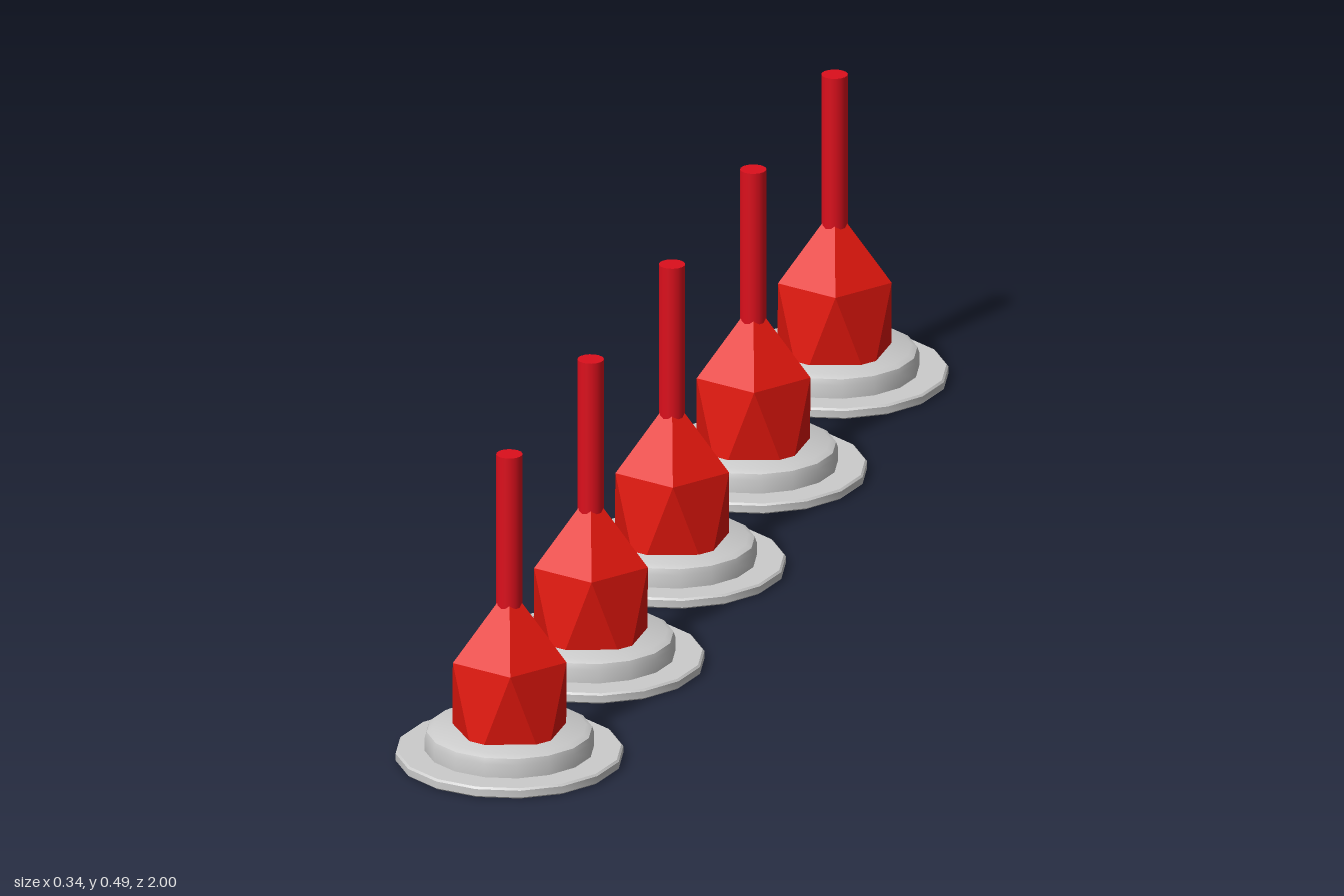
import * as THREE from 'three';
import { toCreasedNormals } from 'three/addons/utils/BufferGeometryUtils.js';

const COUNT = 5;
const PITCH = 0.414;

const grey = new THREE.MeshStandardMaterial({ color: 0xcccccc, side: THREE.DoubleSide });
const bodyRed = new THREE.MeshStandardMaterial({ color: 0xe3170d, flatShading: true });
const rodRed = new THREE.MeshStandardMaterial({ color: 0xdc0f1c });

// Stepped round base with a flange, hollow underneath
function baseGeometry() {
  const profile = [
    [0, 0.042], [0.108, 0.042], [0.118, 0.036], [0.122, 0.026], [0.122, 0.002],
    [0.126, 0], [0.168, 0], [0.172, 0.003], [0.172, 0.014], [0.169, 0.017],
    [0.128, 0.017], [0.128, 0.038], [0.125, 0.047], [0.116, 0.052], [0, 0.052],
  ].map(([r, y]) => new THREE.Vector2(r, y));
  return toCreasedNormals(new THREE.LatheGeometry(profile, 16), 0.7);
}

// Faceted body: two staggered five-sided rings, pointed top, flat bottom
function bodyGeometry() {
  const R = 0.09;
  const ring = (y, offset) => Array.from({ length: 5 }, (_, i) => {
    const a = ((i + offset) * Math.PI * 2) / 5;
    return new THREE.Vector3(R * Math.cos(a), y, R * Math.sin(a));
  });
  const upper = ring(0.165, 0);
  const lower = ring(0.012, 0.5);
  const apex = new THREE.Vector3(0, 0.278, 0);
  const bottom = new THREE.Vector3(0, 0.012, 0);
  const points = [];
  for (let i = 0; i < 5; i++) {
    const j = (i + 1) % 5;
    points.push(apex, upper[j], upper[i]);
    points.push(upper[i], upper[j], lower[i]);
    points.push(lower[i], upper[j], lower[j]);
    points.push(bottom, lower[i], lower[j]);
  }
  const geometry = new THREE.BufferGeometry().setFromPoints(points);
  geometry.computeVertexNormals();
  return geometry;
}

// Round rod running up through the body
function rodGeometry() {
  const bottom = 0.005, top = 0.491;
  return new THREE.CylinderGeometry(0.02, 0.02, top - bottom, 16)
    .translate(0, (top + bottom) / 2, 0);
}

export function createModel() {
  const model = new THREE.Group();
  model.name = 'postRow';
  const parts = [
    ['base', baseGeometry(), grey],
    ['facetedBody', bodyGeometry(), bodyRed],
    ['rod', rodGeometry(), rodRed],
  ];

  // Row of identical posts from back to front
  for (let i = 0; i < COUNT; i++) {
    const post = new THREE.Group();
    post.name = `post${i + 1}`;
    post.position.z = (i - (COUNT - 1) / 2) * PITCH;
    for (const [name, geometry, material] of parts) {
      const mesh = new THREE.Mesh(geometry, material);
      mesh.name = name;
      post.add(mesh);
    }
    model.add(post);
  }
  return model;
}
